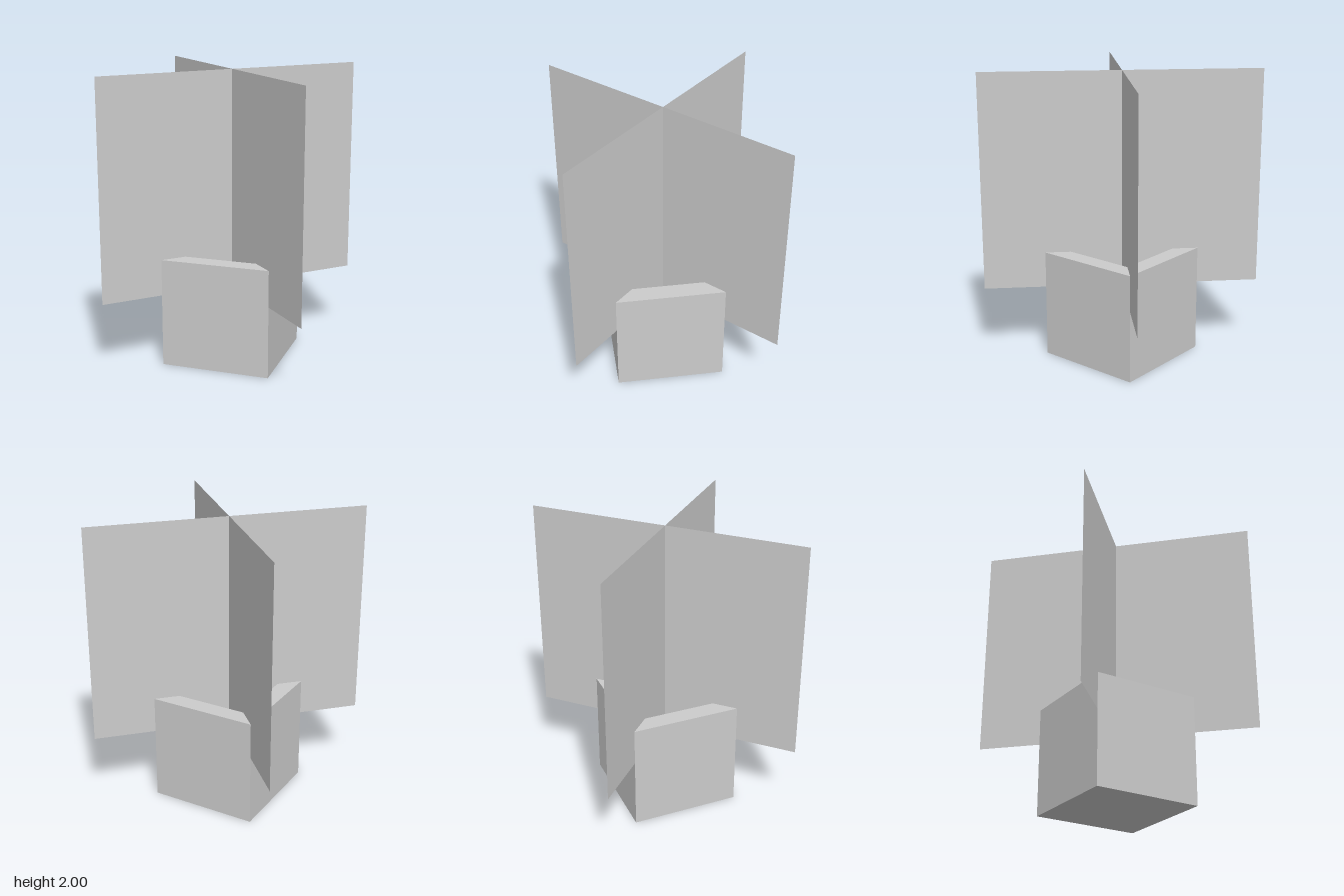
import * as THREE from 'three';

const POT = 0.75;      // outer width and height of the pot
const OPENING = 0.5;   // inner width of the pot
const SOIL_TOP = 0.5;
const LEAF_TOP = 2;
const LEAF_REACH = 0.675; // leaf corner offset along x and z

function square(PathType, size) {
  const h = size / 2;
  return new PathType([
    new THREE.Vector2(-h, -h), new THREE.Vector2(h, -h),
    new THREE.Vector2(h, h), new THREE.Vector2(-h, h),
  ]);
}

export function createModel() {
  const model = new THREE.Group();
  model.name = 'pottedPlant';
  const grey = new THREE.MeshStandardMaterial({ color: 0xcccccc, flatShading: true });
  const thin = new THREE.MeshStandardMaterial({ color: 0xcccccc, flatShading: true, side: THREE.DoubleSide });

  const add = (name, geometry, material) => {
    const mesh = new THREE.Mesh(geometry, material);
    mesh.name = name;
    model.add(mesh);
    return mesh;
  };

  // Square pot wall with an open top
  const outline = square(THREE.Shape, POT);
  outline.holes.push(square(THREE.Path, OPENING));
  const wall = new THREE.ExtrudeGeometry(outline, { depth: POT, bevelEnabled: false });
  wall.rotateX(-Math.PI / 2);
  add('potWall', wall, grey);

  // Soil filling the pot to below the rim
  const soil = new THREE.BoxGeometry(OPENING, SOIL_TOP, OPENING);
  add('soil', soil, grey).position.y = SOIL_TOP / 2;

  // Two thin crossed sheets of foliage on the diagonals
  const width = LEAF_REACH * 2 * Math.SQRT2;
  const height = LEAF_TOP - SOIL_TOP;
  for (const side of [-1, 1]) {
    const sheet = add(side < 0 ? 'foliageSheetA' : 'foliageSheetB', new THREE.PlaneGeometry(width, height), thin);
    sheet.position.y = SOIL_TOP + height / 2;
    sheet.rotation.y = side * Math.PI / 4;
  }

  return model;
}
